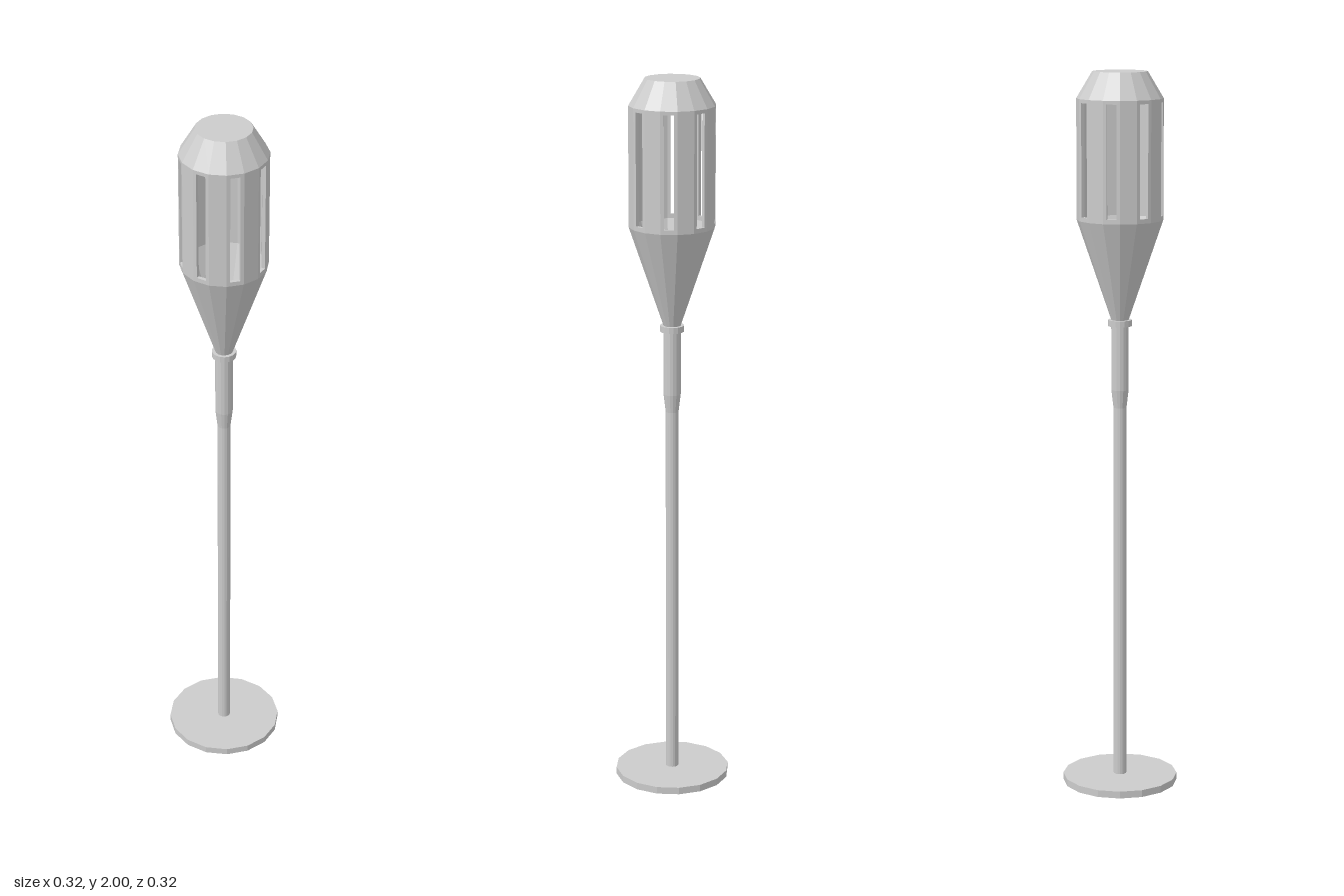
import * as THREE from 'three';

const SIDES = 16;
const mat = new THREE.MeshStandardMaterial({ color: 0xcccccc, flatShading: true, side: THREE.DoubleSide });

function lathe(name, points, sides = SIDES) {
  const pts = points.map(([r, y]) => new THREE.Vector2(r, y));
  const mesh = new THREE.Mesh(new THREE.LatheGeometry(pts, sides), mat);
  mesh.name = name;
  return mesh;
}

// Rectangle outline centred on x = 0
function rect(path, width, bottom, top) {
  path.moveTo(-width / 2, bottom);
  path.lineTo(width / 2, bottom);
  path.lineTo(width / 2, top);
  path.lineTo(-width / 2, top);
  path.closePath();
  return path;
}

export function createModel() {
  const group = new THREE.Group();

  // Ground plate with a hole for the pole
  group.add(lathe('base', [[0.016, 0], [0.161, 0], [0.161, 0.02], [0.016, 0.02], [0.016, 0]]));

  // Hollow pole, wider sleeve and collar
  group.add(lathe('pole', [[0.018, 0], [0.018, 1.1]]));
  group.add(lathe('sleeve', [[0.018, 1.08], [0.024, 1.13], [0.024, 1.31]]));
  group.add(lathe('collar', [[0.02, 1.308], [0.033, 1.308], [0.033, 1.325], [0.02, 1.325]]));

  // Hollow cone under the head
  const R = 0.118, wall = 0.01, low = 1.6, high = 1.928;
  group.add(lathe('cone', [
    [0.024, 1.325], [R, low], [R - wall, low], [0.016, 1.335], [0, 1.335],
  ]));

  // Ring of flat wall panels, every second one slotted
  const head = new THREE.Group();
  head.name = 'slottedHead';
  const step = (Math.PI * 2) / SIDES;
  const chord = 2 * R * Math.sin(step / 2);
  const apothem = R * Math.cos(step / 2);
  for (let i = 0; i < SIDES; i++) {
    const shape = rect(new THREE.Shape(), chord, low, high);
    if (i % 2 === 1) shape.holes.push(rect(new THREE.Path(), 0.027, 1.612, 1.918));
    const geo = new THREE.ExtrudeGeometry(shape, { depth: wall, bevelEnabled: false });
    geo.translate(0, 0, apothem - wall);
    const panel = new THREE.Mesh(geo, mat);
    panel.name = i % 2 === 1 ? 'slottedPanel' : 'plainPanel';
    panel.rotation.y = (i + 0.5) * step;
    head.add(panel);
  }
  group.add(head);

  // Chamfered hollow lid
  group.add(lathe('lid', [
    [0, 1.99], [0.07, 1.99], [R - wall, high], [R, high], [0.075, 2], [0, 2],
  ]));

  return group;
}
